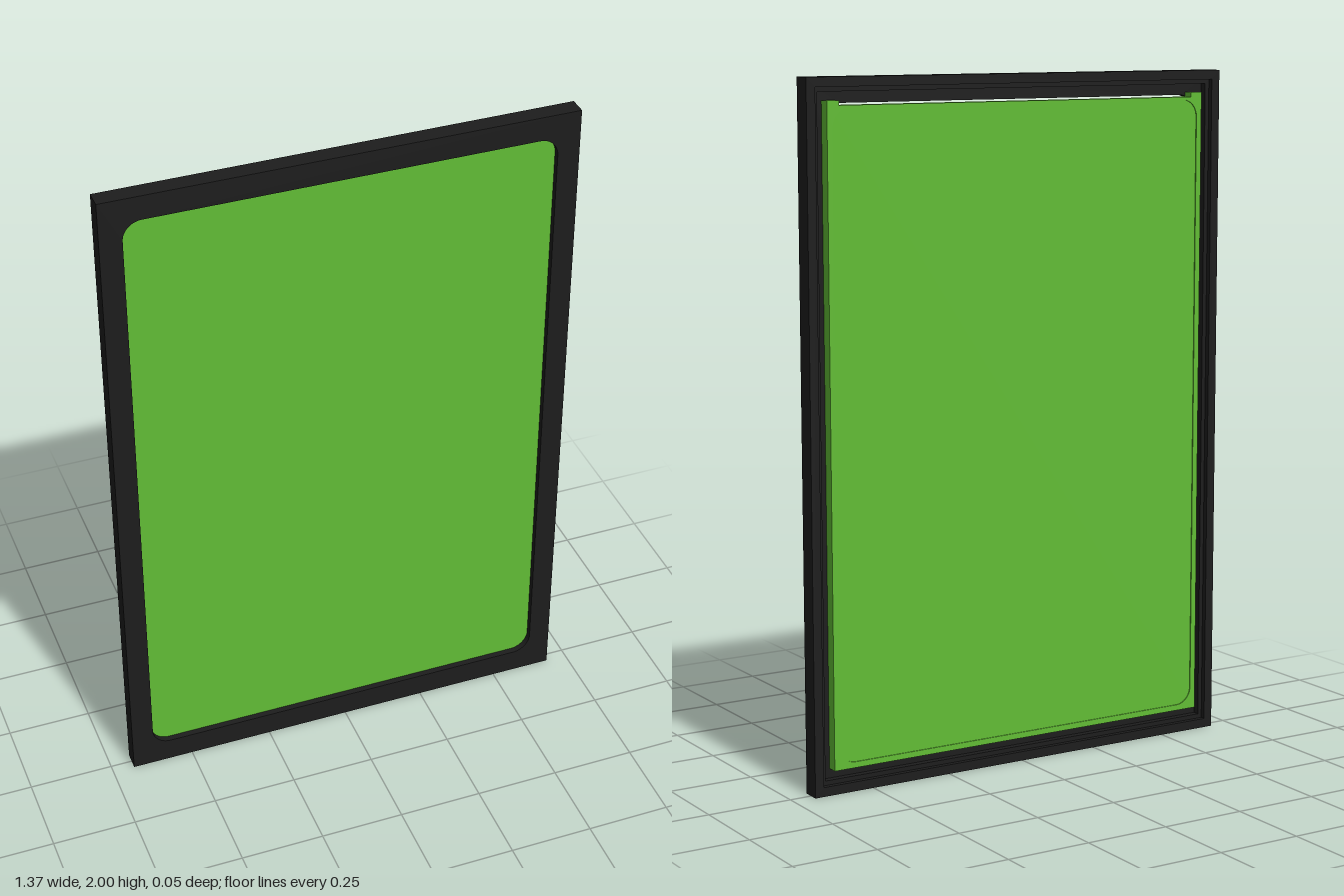
import * as THREE from 'three';

// Rounded (or sharp, r = 0) rectangle centred at the origin
function rect(path, w, h, r = 0) {
  if (!r) {
    path.moveTo(-w, -h);
    path.lineTo(w, -h).lineTo(w, h).lineTo(-w, h).closePath();
    return path;
  }
  path.moveTo(-w + r, -h);
  path.lineTo(w - r, -h);
  path.absarc(w - r, -h + r, r, -Math.PI / 2, 0);
  path.absarc(w - r, h - r, r, 0, Math.PI / 2);
  path.absarc(-w + r, h - r, r, Math.PI / 2, Math.PI);
  path.absarc(-w + r, -h + r, r, Math.PI, Math.PI * 1.5);
  path.closePath();
  return path;
}

export function createModel() {
  const model = new THREE.Group();
  const black = new THREE.MeshStandardMaterial({ color: 0x1d1d1d });
  const green = new THREE.MeshStandardMaterial({ color: 0x62bd35 });

  // Extrude a shape between two z positions
  function slab(name, shape, z0, z1, material) {
    const geometry = new THREE.ExtrudeGeometry(shape, { depth: z1 - z0, bevelEnabled: false, curveSegments: 8 });
    const mesh = new THREE.Mesh(geometry, material);
    mesh.name = name;
    mesh.position.set(0, 1, z0);
    model.add(mesh);
  }

  // Frame: rounded front lip and two stepped layers behind it
  const layers = [
    ['frameFrontLip', 0.065, 0.055, 0.008, 0.027],
    ['frameMiddleStep', 0.04, 0, -0.012, 0.008],
    ['frameBackRim', 0.027, 0, -0.027, -0.012],
  ];
  for (const [name, border, r, z0, z1] of layers) {
    const shape = rect(new THREE.Shape(), 0.685, 1);
    shape.holes.push(rect(new THREE.Path(), 0.685 - border, 1 - border - (r ? 0.007 : 0), r));
    slab(name, shape, z0, z1, black);
  }

  // Panel outline: small raised top corners leave a thin slit under the frame
  const outline = () => {
    const s = new THREE.Shape();
    s.moveTo(-0.622, -0.932);
    s.lineTo(0.622, -0.932).lineTo(0.622, 0.936).lineTo(0.585, 0.936).lineTo(0.585, 0.923);
    s.lineTo(-0.585, 0.923).lineTo(-0.585, 0.936).lineTo(-0.622, 0.936).closePath();
    return s;
  };
  slab('panel', outline(), -0.022, 0.007, green);

  // Thin raised edge around the back of the panel
  const edge = outline();
  edge.holes.push(rect(new THREE.Path(), 0.605, 0.915, 0.05));
  slab('panelBackEdge', edge, -0.025, -0.022, green);

  return model;
}
